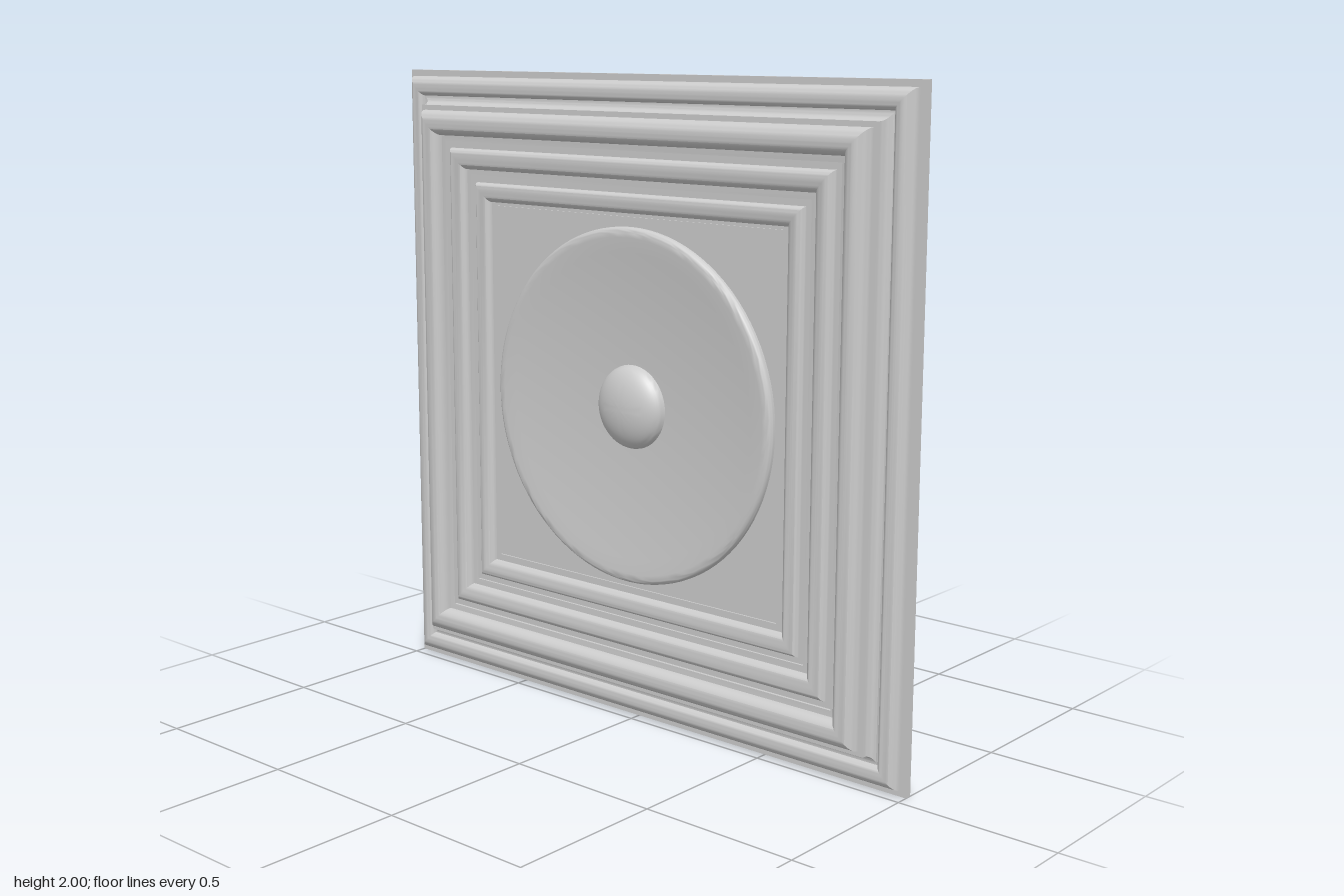
import * as THREE from 'three';
import { toCreasedNormals } from 'three/addons/utils/BufferGeometryUtils.js';

const CENTER_Y = 1;
const material = new THREE.MeshStandardMaterial({ color: 0xcccccc });

// Quarter-ellipse from a to b; the curve leaves a along z when zFirst, else along r.
function arc(a, b, zFirst, steps = 7) {
  const points = [];
  for (let i = 0; i <= steps; i++) {
    const t = (i / steps) * Math.PI / 2;
    const s = Math.sin(t), c = 1 - Math.cos(t);
    points.push([
      a[0] + (b[0] - a[0]) * (zFirst ? c : s),
      a[1] + (b[1] - a[1]) * (zFirst ? s : c),
    ]);
  }
  return points;
}

// Turns an [offset, z] profile around the z axis.
function turn(profile, segments, crease) {
  const points = profile.map(([r, z]) => new THREE.Vector2(r, z));
  const geometry = new THREE.LatheGeometry(points, segments, segments === 4 ? Math.PI / 4 : 0);
  geometry.rotateX(Math.PI / 2);
  return toCreasedNormals(geometry, crease);
}

// Four mitred sides: offsets are distances from the centre to each side.
function mitredSquare(profile) {
  return turn(profile.map(([r, z]) => [r * Math.SQRT2, z]), 4, 0.6);
}

export function createModel() {
  const group = new THREE.Group();
  const add = (name, geometry) => {
    const mesh = new THREE.Mesh(geometry, material);
    mesh.name = name;
    mesh.position.y = CENTER_Y;
    group.add(mesh);
  };

  // Hollow back, from the panel out to the rim
  const back = [
    [0.56, -0.01], [0.72, -0.01],
    ...arc([0.72, -0.008], [0.755, 0.007], true, 5),
    [0.775, 0.009],
    ...arc([0.801, 0.014], [0.82, 0.041], true, 5),
    [0.832, 0.041], [0.85, 0.027], [0.87, 0.01], [0.89, -0.01], [0.908, -0.031], [0.92, -0.048],
    [0.925, -0.048], [0.925, -0.054], [0.97, -0.054], [0.97, -0.06], [1, -0.06],
  ];

  // Stepped mouldings on the front, from the rim inwards
  const front = [
    [1, -0.038], [0.98, -0.038],
    ...arc([0.98, -0.034], [0.946, 0], true),
    ...arc([0.94, 0], [0.918, -0.02], false, 5),
    ...arc([0.916, -0.02], [0.89, 0.012], false, 6),
    [0.89, 0.02], [0.874, 0.02],
    ...arc([0.874, 0.022], [0.834, 0.061], true),
    ...arc([0.83, 0.061], [0.795, 0.024], false),
    [0.777, 0.022], [0.777, 0.013], [0.756, 0.013],
    ...arc([0.756, 0.016], [0.734, 0.038], true),
    ...arc([0.728, 0.038], [0.69, 0.012], false),
    [0.67, 0.011], [0.67, 0.004], [0.65, 0.004],
    ...arc([0.65, 0.006], [0.632, 0.026], true),
    ...arc([0.627, 0.026], [0.59, 0.002], false),
    [0.58, 0.002], [0.58, 0.006], [0.567, 0.006], [0.567, 0.001], [0.56, 0.001],
  ];
  add('frameMoulding', mitredSquare([...back, ...front]));

  // Square panel face with a round opening for the dish
  const face = new THREE.Shape([[-1, -1], [1, -1], [1, 1], [-1, 1]]
    .map(([x, y]) => new THREE.Vector2(x * 0.56, y * 0.56)));
  face.holes.push(new THREE.Path().absarc(0, 0, 0.545, 0, Math.PI * 2, true));
  const faceGeometry = new THREE.ShapeGeometry(face, 48);
  faceGeometry.translate(0, 0, 0.001);
  add('panelFace', faceGeometry);

  // Flat backing
  const backing = new THREE.PlaneGeometry(1.12, 1.12);
  backing.rotateY(Math.PI);
  backing.translate(0, 0, -0.01);
  add('panelBack', backing);

  // Round concave dish with a rolled rim
  const dish = [
    [0.55, 0],
    ...arc([0.55, 0.008], [0.532, 0.025], true, 6),
  ];
  for (let i = 12; i >= 0; i--) {
    const t = i / 12;
    dish.push([0.52 * t, -0.0085 + 0.033 * t * t]);
  }
  add('rosetteDish', turn(dish, 96, 0.9));

  // Rounded dome in the middle
  add('rosetteDome', turn(arc([0.13, -0.0085], [0, 0.055], true, 14), 48, 1.0));

  return group;
}
